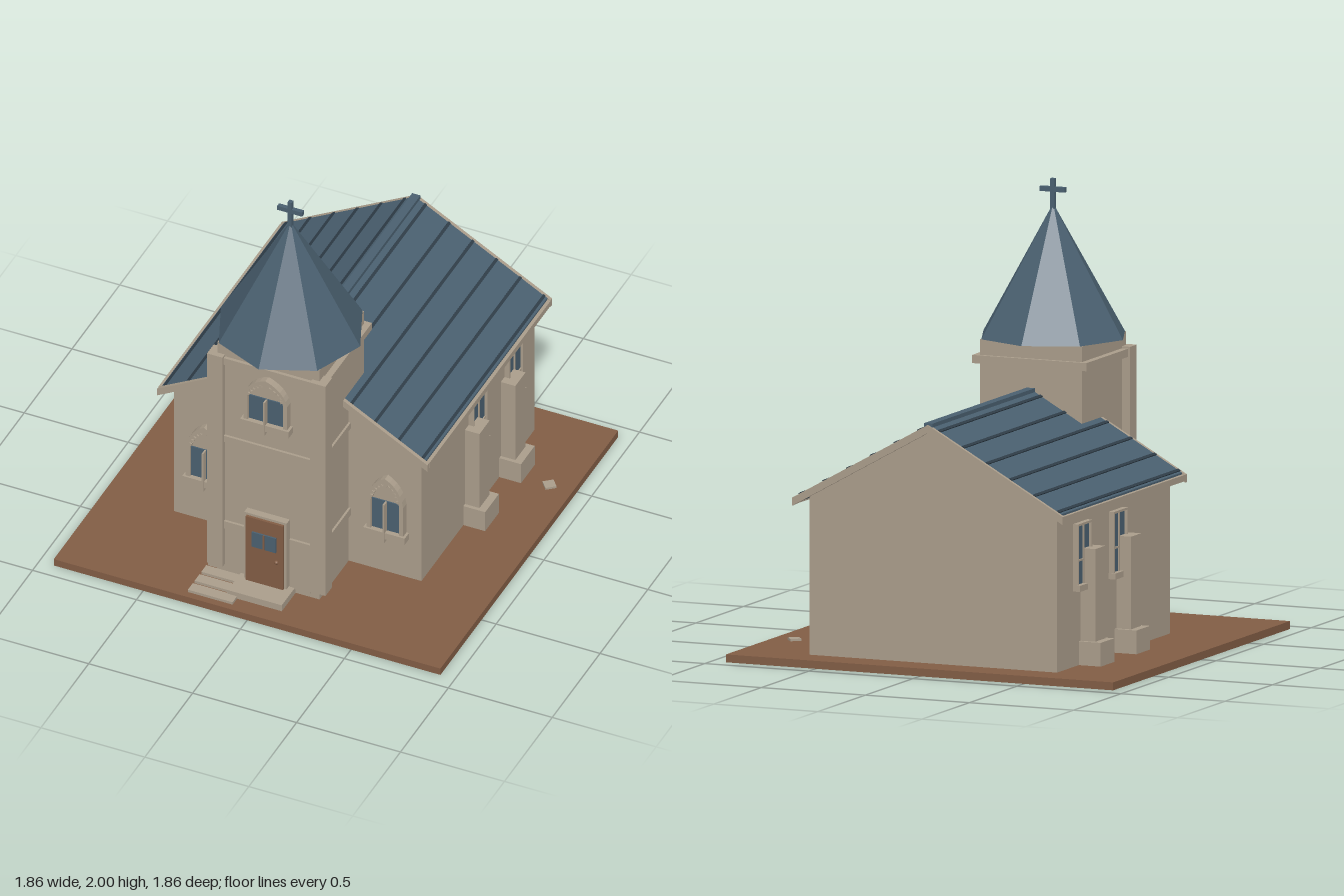
import * as THREE from 'three';

const mat = (name, color) => {
  const m = new THREE.MeshStandardMaterial({ color });
  m.name = name;
  return m;
};

export function createModel() {
  const stone = mat('stone', 0xaa9d8b);
  const slate = mat('slate', 0x4a6070);
  const seam = mat('darkSeam', 0x2f3d48);
  const wood = mat('brownWood', 0x825d45);
  const root = new THREE.Group();
  root.name = 'chapel';

  const add = (name, geo, material, parent = root) => {
    const m = new THREE.Mesh(geo, material);
    m.name = name;
    parent.add(m);
    return m;
  };
  // Box given by its limits on each axis
  const box = (name, x0, x1, y0, y1, z0, z1, material, parent) => {
    const m = add(name, new THREE.BoxGeometry(x1 - x0, y1 - y0, z1 - z0), material, parent);
    m.position.set((x0 + x1) / 2, (y0 + y1) / 2, (z0 + z1) / 2);
    return m;
  };
  const extrude = (name, shape, z0, z1, material, parent) => {
    const geo = new THREE.ExtrudeGeometry(shape, { depth: z1 - z0, bevelEnabled: false, curveSegments: 6 });
    geo.translate(0, 0, z0);
    return add(name, geo, material, parent);
  };
  const polygon = (pts) => new THREE.Shape(pts.map((p) => new THREE.Vector2(...p)));

  // Ground slab, landing, paving slabs and a loose stone
  box('ground', -0.93, 0.93, 0, 0.035, -0.93, 0.93, wood);
  box('landing', -0.13, 0.13, 0.035, 0.068, 0.66, 0.85, stone);
  for (let i = 0; i < 4; i++) {
    const z = 0.635 + i * 0.07;
    box('pavingSlab', -0.3, -0.085, 0.035, 0.048, z, z + 0.052, stone);
  }
  const loose = box('looseStone', 0.795, 0.845, 0.035, 0.045, -0.475, -0.425, stone);
  loose.rotation.y = 0.7;

  // Nave body with gable ends
  const slope = 0.56;
  const roofY = (x) => 1.1 - slope * Math.abs(x);
  const W = 0.595;
  extrude('nave', polygon([[-W, 0.035], [W, 0.035], [W, roofY(W) - 0.03], [0, 1.07], [-W, roofY(W) - 0.03]]), -0.785, 0.4, stone);

  // Roof covering, gable boards and eaves
  const chevron = (x, up, down) => polygon([
    [-x, roofY(x) + up], [-x, roofY(x) - down], [0, 1.1 - down],
    [x, roofY(x) - down], [x, roofY(x) + up], [0, 1.1 + up],
  ]);
  extrude('roof', chevron(0.635, 0, 0.03), -0.83, 0.44, slate);
  extrude('frontGableBoard', chevron(0.65, 0, 0.036), 0.44, 0.458, stone);
  extrude('backGableBoard', chevron(0.65, 0, 0.036), -0.847, -0.83, stone);
  const tilt = Math.atan(slope);
  for (const s of [-1, 1]) {
    const eave = box('eave', -0.0085, 0.0085, -0.014, 0.014, -0.83, 0.44, stone);
    eave.position.x = s * 0.643;
    eave.position.y = 0.722;
    for (let i = 0; i < 6; i++) {
      const x = 0.05 + i * 0.114;
      const strip = box('roofSeam', -0.007, 0.007, -0.004, 0.004, -0.83, 0.44, seam);
      strip.position.x = s * x;
      strip.position.y = roofY(x) + 0.001;
      strip.rotation.z = -s * tilt;
    }
  }
  box('ridgeCap', -0.02, 0.02, 1.085, 1.106, -0.84, 0.3, slate);

  // Side buttresses and windows
  for (const s of [-1, 1]) {
    for (const z of [-0.11, -0.485]) {
      const bx = (name, x0, x1, y0, y1, z0, z1, m) =>
        box(name, Math.min(s * x0, s * x1), Math.max(s * x0, s * x1), y0, y1, z + z0, z + z1, m);
      bx('buttress', 0.58, 0.665, 0.035, 0.55, -0.052, 0.055, stone);
      bx('buttressFoot', 0.58, 0.7, 0.035, 0.14, -0.072, 0.072, stone);
      bx('sidePane', 0.59, 0.607, 0.395, 0.66, -0.125, 0.01, slate);
      bx('sideSill', 0.59, 0.63, 0.37, 0.397, -0.136, 0.02, stone);
      bx('sideMullion', 0.59, 0.613, 0.395, 0.66, -0.062, -0.054, stone);
      bx('sideCrossbar', 0.59, 0.613, 0.5, 0.508, -0.125, 0.01, stone);
      bx('sideHead', 0.59, 0.62, 0.658, 0.668, -0.132, 0.017, stone);
      for (const j of [-0.128, 0.012]) bx('sideJamb', 0.59, 0.62, 0.395, 0.66, j - 0.004, j + 0.004, stone);
    }
  }

  // Pointed-arch window facing +z, bottom of its pane at y = 0
  const archPath = (P, w, y0, spring, top) => {
    const p = new P();
    p.moveTo(-w, y0);
    p.lineTo(w, y0);
    p.lineTo(w, spring);
    p.quadraticCurveTo(w * 0.85, spring + (top - spring) * 0.72, 0, top);
    p.quadraticCurveTo(-w * 0.85, spring + (top - spring) * 0.72, -w, spring);
    return p;
  };
  const archWindow = (name, x, y, z, w, paneH, top) => {
    const g = new THREE.Group();
    g.name = name;
    g.position.set(x, y, z);
    root.add(g);
    const frame = archPath(THREE.Shape, w + 0.02, -0.01, paneH, top);
    frame.holes.push(archPath(THREE.Path, w, 0, paneH, top - 0.028));
    extrude('archFrame', frame, 0, 0.035, stone, g);
    extrude('archInfill', archPath(THREE.Shape, w + 0.005, 0, paneH, top - 0.02), 0, 0.016, stone, g);
    box('pane', -w, w, 0, paneH, 0.01, 0.022, slate, g);
    box('sill', -w - 0.032, w + 0.032, -0.032, 0.002, 0, 0.045, stone, g);
    box('mullion', -0.004, 0.004, -0.05, paneH, 0.02, 0.05, stone, g);
    // Small blocks following the arch
    const side = new THREE.QuadraticBezierCurve(
      new THREE.Vector2(w, paneH),
      new THREE.Vector2(w * 0.85, paneH + (top - 0.028 - paneH) * 0.72),
      new THREE.Vector2(0, top - 0.028));
    for (const s of [-1, 1]) {
      for (let i = 1; i < 6; i++) {
        const p = side.getPoint(i / 6);
        const t = side.getTangent(i / 6);
        const b = box('archBlock', -0.006, 0.006, -0.006, 0.006, 0.02, 0.04, stone, g);
        b.position.x = s * p.x;
        b.position.y = p.y;
        b.rotation.z = s * Math.atan2(t.y, t.x);
      }
    }
  };
  for (const s of [-1, 1]) archWindow('naveWindow', s * 0.435, 0.28, 0.4, 0.068, 0.16, 0.293);
  archWindow('towerWindow', 0, 0.95, 0.705, 0.085, 0.13, 0.24);

  // Tower with corner piers and string courses
  const tz = 0.475;
  box('tower', -0.245, 0.245, 0.035, 1.305, 0.24, 0.705, stone);
  for (const s of [-1, 1]) {
    box('cornerPier', s * 0.2475 - 0.0375, s * 0.2475 + 0.0375, 0.085, 1.245, 0.66, 0.73, stone);
    box('lowerPanel', s * 0.155 - 0.05, s * 0.155 + 0.05, 0.06, 0.29, 0.7, 0.715, stone);
    box('lowerCourse', s * 0.18 - 0.075, s * 0.18 + 0.075, 0.29, 0.33, 0.4, 0.717, stone);
  }
  box('middleCourse', -0.255, 0.255, 0.77, 0.803, 0.235, 0.717, stone);
  box('topCourse', -0.275, 0.275, 1.2, 1.236, 0.222, 0.72, stone);

  // Door
  box('doorFrame', -0.102, 0.102, 0.068, 0.432, 0.7, 0.738, stone);
  box('door', -0.09, 0.09, 0.068, 0.42, 0.72, 0.75, wood);
  box('doorPane', -0.058, 0.058, 0.267, 0.347, 0.749, 0.757, slate);
  box('doorPaneBar', -0.004, 0.004, 0.267, 0.347, 0.752, 0.76, wood);
  const knob = add('doorKnob', new THREE.SphereGeometry(0.01, 10, 8), wood);
  knob.position.set(0.06, 0.215, 0.755);

  // Eight-sided spire and cross
  const spireGeo = new THREE.CylinderGeometry(0.004, 0.335, 0.577, 8).toNonIndexed();
  spireGeo.computeVertexNormals();
  add('spire', spireGeo, slate).position.set(0, 1.5935, tz);
  box('crossPost', -0.01, 0.01, 1.86, 2, tz - 0.01, tz + 0.01, slate);
  box('crossArm', -0.06, 0.06, 1.941, 1.963, tz - 0.01, tz + 0.01, slate);

  return root;
}
